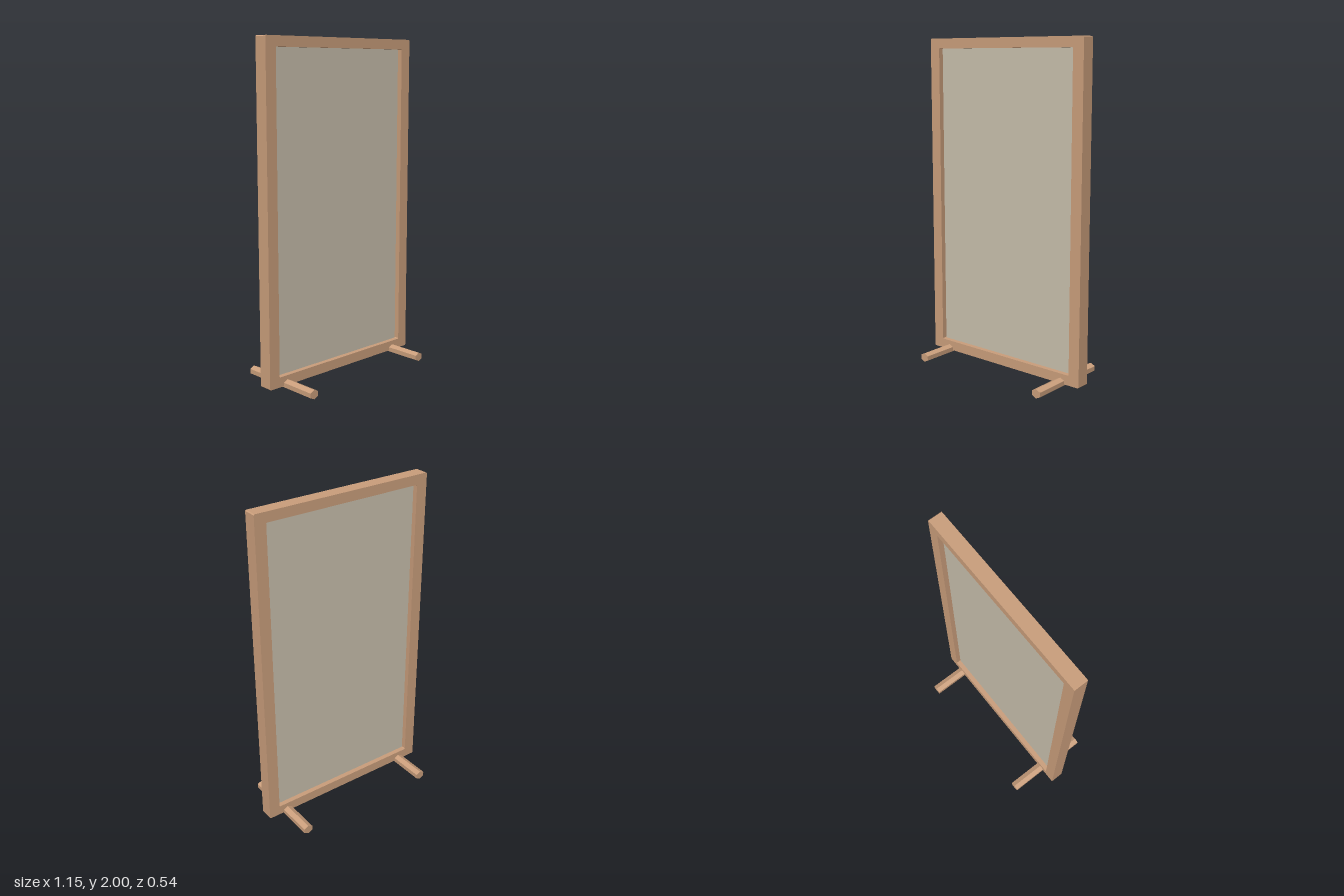
import * as THREE from 'three';

const wood = new THREE.MeshStandardMaterial({ color: 0xcb9f7c, flatShading: true });
wood.name = 'wood';
const cloth = new THREE.MeshStandardMaterial({ color: 0xc9c0ad, flatShading: true });
cloth.name = 'panel cloth';

function addMesh(group, name, geometry, material, x, y, z) {
  const mesh = new THREE.Mesh(geometry, material);
  mesh.name = name;
  mesh.position.set(x, y, z);
  group.add(mesh);
  return mesh;
}

// Rectangle with tiny cut corners
function cutRectangle(halfW, bottom, top, cut) {
  return [
    [-halfW + cut, bottom], [halfW - cut, bottom],
    [halfW, bottom + cut], [halfW, top - cut],
    [halfW - cut, top], [-halfW + cut, top],
    [-halfW, top - cut], [-halfW, bottom + cut],
  ].map(([x, y]) => new THREE.Vector2(x, y));
}

export function createModel() {
  const model = new THREE.Group();
  model.name = 'partitionScreen';

  // Wooden frame with a rectangular opening
  const depth = 0.084;
  const outline = new THREE.Shape(cutRectangle(0.576, 0.02, 2, 0.005));
  outline.holes.push(new THREE.Path(cutRectangle(0.505, 0.08, 1.94, 0.004).reverse()));
  const frame = new THREE.ExtrudeGeometry(outline, { depth, bevelEnabled: false });
  addMesh(model, 'frame', frame, wood, 0, 0, -depth / 2);

  // Recessed infill panel, centred in the frame
  addMesh(model, 'panel', new THREE.BoxGeometry(1.012, 1.862, 0.022), cloth, 0, 1.01, 0);

  // Six-sided feet running front to back, slightly squashed
  const foot = new THREE.CylinderGeometry(1, 1, 0.54, 6);
  foot.rotateX(Math.PI / 2);
  foot.scale(0.0335, 0.0275, 1);
  for (const side of [-1, 1]) {
    addMesh(model, side > 0 ? 'leftFoot' : 'rightFoot', foot, wood, side * 0.446, 0.0275, 0);
  }

  return model;
}
